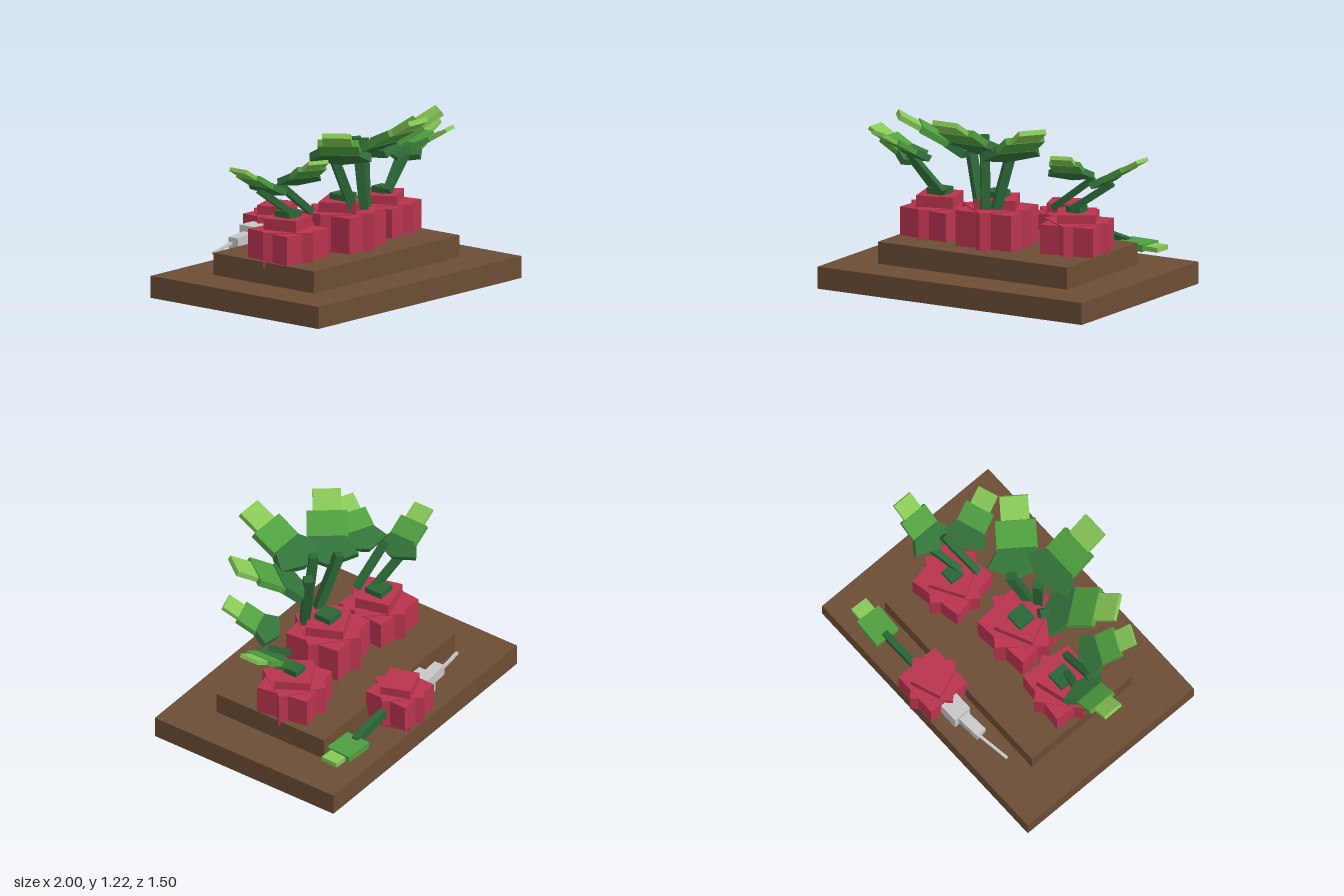
import * as THREE from 'three';

const mat = (name, color, flatShading = false) => {
  const m = new THREE.MeshStandardMaterial({ color, flatShading });
  m.name = name;
  return m;
};

export function createModel() {
  const soil = mat('soil brown', 0x6b4d35);
  const red = mat('radish red', 0xb8344f);
  const stalkGreen = mat('stalk green', 0x2b6636);
  const leafGreen = mat('dark leaf green', 0x33723a, true);
  const midGreen = mat('mid leaf green', 0x4f9f3f);
  const tipGreen = mat('light leaf green', 0x86c756);
  const rootGrey = mat('root grey', 0xc6c6c6);
  const deg = Math.PI / 180;
  const model = new THREE.Group();
  model.name = 'radishPatch';

  const box = (parent, name, material, w, h, d, x, y, z, yaw = 0) => {
    const m = new THREE.Mesh(new THREE.BoxGeometry(w, h, d), material);
    m.name = name;
    m.position.set(x, y, z);
    m.rotation.y = yaw * deg;
    parent.add(m);
    return m;
  };

  // square bar running between two points
  const bar = (parent, name, material, a, b, w, h = w) => {
    const p = new THREE.Vector3(...a), q = new THREE.Vector3(...b);
    const m = box(parent, name, material, w, h, p.distanceTo(q), 0, 0, 0);
    m.position.copy(p).add(q).multiplyScalar(0.5);
    m.lookAt(q);
    return m;
  };

  // stepped soil bed
  box(model, 'lowerSoil', soil, 2, 0.145, 1.42, 0, 0.0725, 0.025);
  box(model, 'upperSoil', soil, 1.43, 0.145, 0.855, 0, 0.2175, 0.0275);

  // two crossed blocks around a taller turned core
  const radish = (x, y, z, s, yaw, coreHalf) => {
    const g = new THREE.Group();
    g.name = 'radish';
    g.position.set(x, y, z);
    g.rotation.y = yaw * deg;
    box(g, 'radishBody', red, 0.4 * s, 0.235 * s, 0.39 * s, 0, 0, 0);
    box(g, 'radishBodyTurned', red, 0.35 * s, 0.25 * s, 0.35 * s, 0, 0, 0, 45);
    box(g, 'radishCore', red, 0.27 * s, 2 * coreHalf, 0.25 * s, 0, 0, 0, 20);
    model.add(g);
  };

  // stalk with a pentagon blade, a middle plate and a pale tip
  const leaf = (x, y, z, yaw, s, reach, rise, pitch = 30) => {
    const g = new THREE.Group();
    g.name = 'leaf';
    g.position.set(x, y, z);
    g.rotation.y = yaw * deg;
    model.add(g);
    bar(g, 'stalk', stalkGreen, [0, -0.02, 0], [0, rise + 0.05 * s, reach + 0.12 * s], 0.058 * s);

    const blade = new THREE.Group();
    blade.name = 'blade';
    blade.position.set(0, rise, reach);
    blade.rotation.x = -pitch * deg;
    blade.scale.setScalar(s);
    g.add(blade);
    const pent = new THREE.Mesh(new THREE.CylinderGeometry(0.21, 0.21, 0.055, 5, 1, false, Math.PI), leafGreen);
    pent.name = 'bladeBase';
    pent.scale.z = 0.526;
    pent.position.z = 0.11;
    blade.add(pent);
    box(blade, 'bladeMiddle', midGreen, 0.265, 0.045, 0.26, 0, 0, 0.25);
    box(blade, 'bladeTip', tipGreen, 0.185, 0.034, 0.24, 0, -0.002, 0.417);
  };

  // planted radishes: position, size, turn, core, collar, leaves [yaw, reach, rise]
  const plants = [
    { p: [-0.03, 0.415, 0.11], s: 1, yaw: 5, core: 0.19, collar: 0.125, ls: 1,
      leaves: [[0, 0.17, 0.31], [53, 0.17, 0.265], [-53, 0.17, 0.265]] },
    { p: [-0.5, 0.37, 0.05], s: 0.92, yaw: -5, core: 0.19, collar: 0.125, ls: 0.76,
      leaves: [[-90, 0.14, 0.16], [-25, 0.12, 0.225]] },
    { p: [0.5, 0.373, -0.01], s: 0.92, yaw: 10, core: 0.172, collar: 0.1, ls: 0.76,
      leaves: [[90, 0.14, 0.17], [19, 0.11, 0.23]] },
  ];
  for (const { p: [x, y, z], s, yaw, core, collar, ls, leaves } of plants) {
    radish(x, y, z, s, yaw, core);
    const top = y + core;
    box(model, 'collar', stalkGreen, collar, 0.06, collar, x, top + 0.01, z);
    for (const [a, reach, rise] of leaves) leaf(x, top + 0.02, z, a, ls, reach, rise);
  }

  // pulled radish at the back with its leaf and pale root
  radish(0.083, 0.304, -0.545, 0.79, 0, 0.157);
  bar(model, 'pulledStalk', stalkGreen, [0.18, 0.32, -0.545], [0.56, 0.25, -0.535], 0.045, 0.06);
  box(model, 'pulledLeaf', midGreen, 0.205, 0.045, 0.18, 0.632, 0.245, -0.533, -3);
  box(model, 'pulledLeafTip', tipGreen, 0.13, 0.032, 0.122, 0.763, 0.24, -0.528, -3);
  box(model, 'rootBlock', rootGrey, 0.14, 0.13, 0.13, -0.14, 0.295, -0.548);
  bar(model, 'rootMiddle', rootGrey, [-0.19, 0.285, -0.542], [-0.37, 0.275, -0.528], 0.075);
  bar(model, 'rootTip', rootGrey, [-0.36, 0.275, -0.545], [-0.595, 0.25, -0.505], 0.018);

  return model;
}
